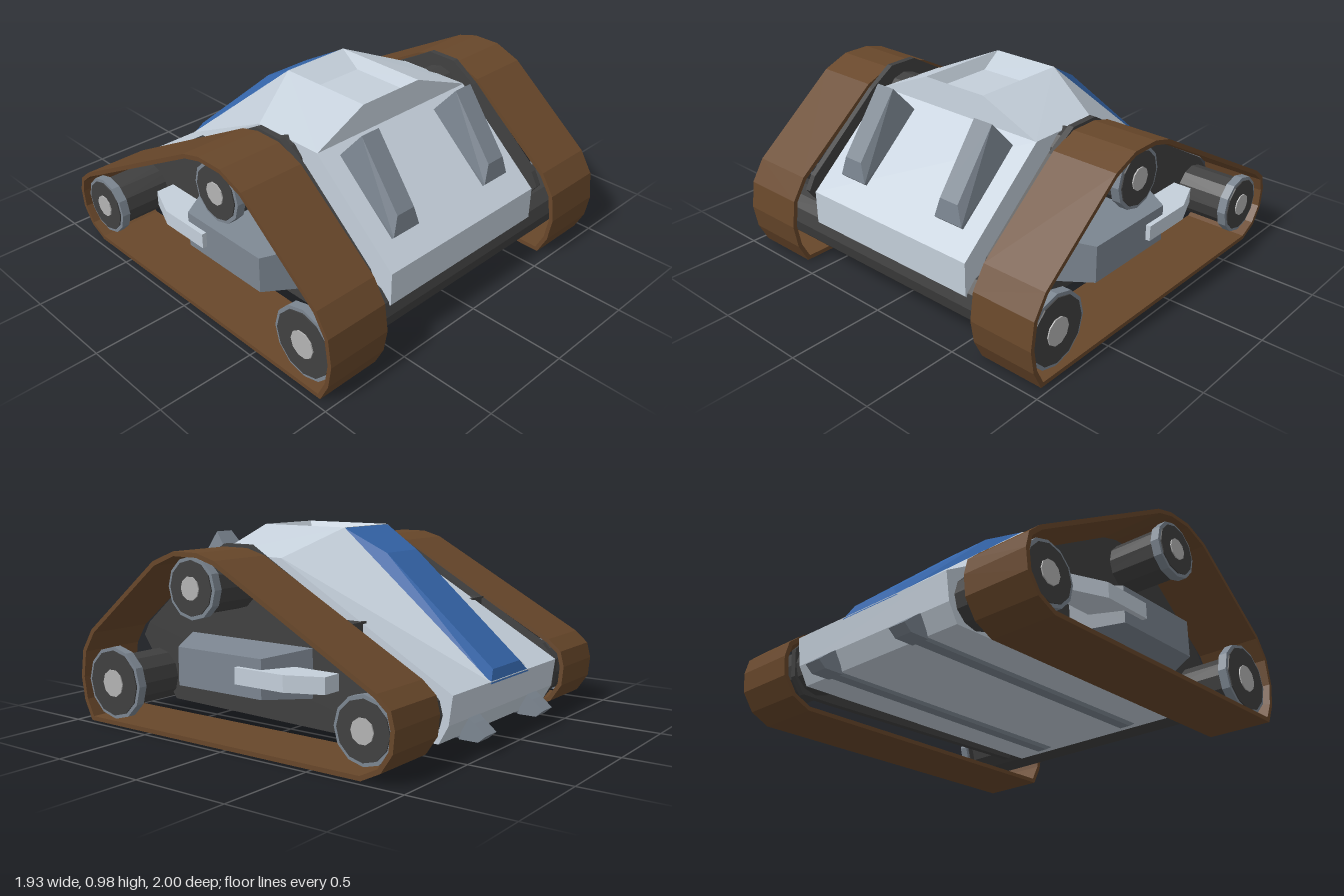
import * as THREE from 'three';
import { ConvexGeometry } from 'three/addons/geometries/ConvexGeometry.js';

const mat = (color) => new THREE.MeshStandardMaterial({ color, flatShading: true, side: THREE.DoubleSide });
const M = {
  hull: mat(0xc4cfda), slate: mat(0x7c8691), dark: mat(0x404040),
  track: mat(0x68472a), blue: mat(0x3465aa), cap: mat(0xb4b4b4),
};

function add(parent, name, geometry, material) {
  const mesh = new THREE.Mesh(geometry, material);
  mesh.name = name;
  parent.add(mesh);
  return mesh;
}

// Side outline of [z, y] points, extruded across x0..x1
function sidePlate(points, x0, x1, hole) {
  const shape = new THREE.Shape(points.map(([z, y]) => new THREE.Vector2(z, y)));
  if (hole) shape.holes.push(new THREE.Path(hole.map(([z, y]) => new THREE.Vector2(z, y))));
  const g = new THREE.ExtrudeGeometry(shape, { depth: x1 - x0, bevelEnabled: false });
  return g.rotateY(-Math.PI / 2).translate(x1, 0, 0);
}

// Insets a counter-clockwise outline by distance d
function inset(points, d) {
  const n = points.length;
  const normal = (a, b) => new THREE.Vector2(a[1] - b[1], b[0] - a[0]).normalize();
  return points.map((p, i) => {
    const n1 = normal(points[(i + n - 1) % n], p), n2 = normal(p, points[(i + 1) % n]);
    const k = d / (1 + n1.dot(n2));
    return [p[0] + (n1.x + n2.x) * k, p[1] + (n1.y + n2.y) * k];
  });
}

// Flat polygons, each fanned into triangles
function facets(polys) {
  const pos = [];
  for (const p of polys)
    for (let i = 1; i < p.length - 1; i++) pos.push(...p[0], ...p[i], ...p[i + 1]);
  const g = new THREE.BufferGeometry();
  g.setAttribute('position', new THREE.Float32BufferAttribute(pos, 3));
  g.computeVertexNormals();
  return g;
}

const solid = (pts) => new ConvexGeometry(pts.map((p) => new THREE.Vector3(...p)));
// Symmetric solid: each [halfWidth, y, z] gives a point on both sides of x = cx
const symSolid = (cx, pts) => solid(pts.flatMap(([w, y, z]) => [[cx - w, y, z], [cx + w, y, z]]));
const rod = (r, x0, x1, y, z, n = 12) =>
  new THREE.CylinderGeometry(r, r, x1 - x0, n).rotateZ(Math.PI / 2).translate((x0 + x1) / 2, y, z);

function createHull() {
  const g = new THREE.Group();
  g.name = 'hull';
  add(g, 'hullBody', sidePlate([
    [0.92, 0.26], [0.92, 0.43], [0.44, 0.85], [0.04, 0.845], [-0.93, 0.3], [-0.91, 0.16], [-0.86, 0.07], [0.7, 0.075],
  ], -0.515, 0.515), M.hull);

  // Cabin: sloping sides around a sunken roof panel
  const cx = -0.015;
  const polys = [];
  for (const s of [-1, 1]) {
    const foot = [s * 0.515, 0.85, 0.445], back = [s * 0.51, 0.845, 0.04];
    const top = [cx + s * 0.19, 0.98, 0.43], topBack = [cx + s * 0.19, 0.98, -0.09];
    const tail = [cx + s * 0.19, 0.3, -0.93];
    polys.push([foot, back, topBack, top], [back, tail, topBack]);
    polys.push([top, topBack, [cx + s * 0.155, 0.92, 0.05], [cx + s * 0.155, 0.92, 0.39]]);
  }
  const rect = (w, y, z) => [[cx - w, y, z], [cx + w, y, z]];
  const [fl, fr] = rect(0.19, 0.98, 0.43), [bl, br] = rect(0.19, 0.98, -0.09);
  const [il, ir] = rect(0.155, 0.92, 0.39), [jl, jr] = rect(0.155, 0.92, 0.05);
  polys.push([[-0.515, 0.85, 0.445], [0.515, 0.85, 0.445], fr, fl]);
  polys.push([fl, fr, ir, il], [il, ir, jr, jl], [jl, jr, br, bl]);
  add(g, 'cabin', facets(polys), M.hull);

  // Raised stripe down the rear slope
  add(g, 'rearStripe', symSolid(cx, [
    [0.19, 0.978, -0.09], [0.135, 0.86, -0.31], [0.135, 0.35, -0.91],
    [0.19, 0.29, -0.932], [0.19, 0.9, -0.09],
  ]), M.blue);

  for (const s of [-1, 1]) {
    add(g, 'frontFin', symSolid(s * 0.325, [
      [0.085, 0.8, 0.47], [0.085, 0.53, 0.83], [0.055, 0.945, 0.59], [0.055, 0.63, 0.82], [0.085, 0.5, 0.8],
    ]), M.slate);
    // Skid rail under the floor, ending in a rear hook
    add(g, 'skidRail', symSolid(s * 0.29, [
      [0.05, 0.1, 0.7], [0.03, 0.055, 0.62], [0.03, 0.055, -0.86], [0.05, 0.1, -0.9],
    ]), M.slate);
    add(g, 'rearHook', symSolid(s * 0.29, [
      [0.05, 0.17, -0.9], [0.05, 0.14, -0.94], [0.05, 0.09, -1], [0.05, 0.055, -0.96], [0.05, 0.055, -0.86],
    ]), M.slate);
  }
  return g;
}

const WHEELS = [
  { name: 'front', z: 0.79, y: 0.205, r: 0.185, axle: 0.135 },
  { name: 'rear', z: -0.75, y: 0.205, r: 0.155, axle: 0.13 },
  { name: 'top', z: 0.23, y: 0.725, r: 0.15, axle: 0.13 },
];

const BELT = [
  [0.93, 0], [0.98, 0.1], [1, 0.22], [0.98, 0.36], [0.91, 0.47], [0.45, 0.84], [0.31, 0.895], [0.16, 0.895],
  [0.05, 0.865], [-0.84, 0.38], [-0.91, 0.32], [-0.93, 0.24], [-0.92, 0.14], [-0.86, 0.05], [-0.76, 0],
];

// One running unit, built on the +x side
function createTrackUnit() {
  const g = new THREE.Group();
  g.name = 'trackUnit';
  add(g, 'trackBelt', sidePlate(BELT, 0.62, 0.965, inset(BELT, 0.022)), M.track);
  add(g, 'sidePanel', sidePlate([
    [0.67, 0.085], [0.9, 0.4], [0.86, 0.47], [0.45, 0.82], [0.31, 0.91], [0.15, 0.91], [0.03, 0.84],
    [-0.82, 0.36], [-0.89, 0.28], [-0.88, 0.14], [-0.82, 0.06], [-0.65, 0.06],
  ], 0.59, 0.622), M.dark);
  add(g, 'innerMount', new THREE.BoxGeometry(0.12, 0.18, 0.8).translate(0.55, 0.49, -0.05), M.dark);

  for (const w of WHEELS) {
    add(g, w.name + 'Axle', rod(w.axle, 0.45, 0.91, w.y, w.z), M.dark);
    add(g, w.name + 'WheelRim', rod(w.r, 0.885, 0.93, w.y, w.z), M.slate);
    add(g, w.name + 'WheelFace', rod(w.r - 0.018, 0.88, 0.936, w.y, w.z), M.dark);
    add(g, w.name + 'HubCap', rod(w.r * 0.38, 0.9, 0.942, w.y, w.z, 10), M.cap);
  }

  // Tapered side pod with a bar along it
  add(g, 'sidePod', solid([
    [0.62, 0.21, 0.54], [0.62, 0.45, 0.54], [0.62, 0.21, -0.24], [0.62, 0.45, -0.24],
    [0.85, 0.23, 0.41], [0.85, 0.42, 0.41], [0.85, 0.23, -0.12], [0.85, 0.42, -0.12],
  ]), M.slate);
  const bar = [];
  for (const y of [0.29, 0.37])
    bar.push([0.7, y, 0.02], [0.875, y, 0.02], [0.875, y, -0.27], [0.8, y, -0.45], [0.7, y, -0.45]);
  add(g, 'podBar', solid(bar), M.hull);
  return g;
}

// Mirrors a unit to -x and restores the winding
function mirrored(group) {
  const copy = group.clone();
  copy.children.forEach((mesh) => {
    const geo = mesh.geometry.index ? mesh.geometry.toNonIndexed() : mesh.geometry.clone();
    geo.scale(-1, 1, 1);
    for (const attr of Object.values(geo.attributes)) {
      const k = attr.itemSize, a = attr.array;
      for (let i = 0; i < attr.count; i += 3)
        for (let j = 0; j < k; j++) {
          const p = (i + 1) * k + j, q = (i + 2) * k + j;
          [a[p], a[q]] = [a[q], a[p]];
        }
    }
    geo.computeVertexNormals();
    mesh.geometry = geo;
  });
  return copy;
}

export function createModel() {
  const model = new THREE.Group();
  model.name = 'trackedVehicle';
  const left = createTrackUnit();
  left.name = 'leftTrackUnit';
  const right = mirrored(left);
  right.name = 'rightTrackUnit';
  model.add(createHull(), left, right);
  // Front axle runs the full width below the nose
  add(model, 'frontCrossAxle', rod(0.135, -0.5, 0.5, 0.205, 0.79), M.dark);
  return model;
}
